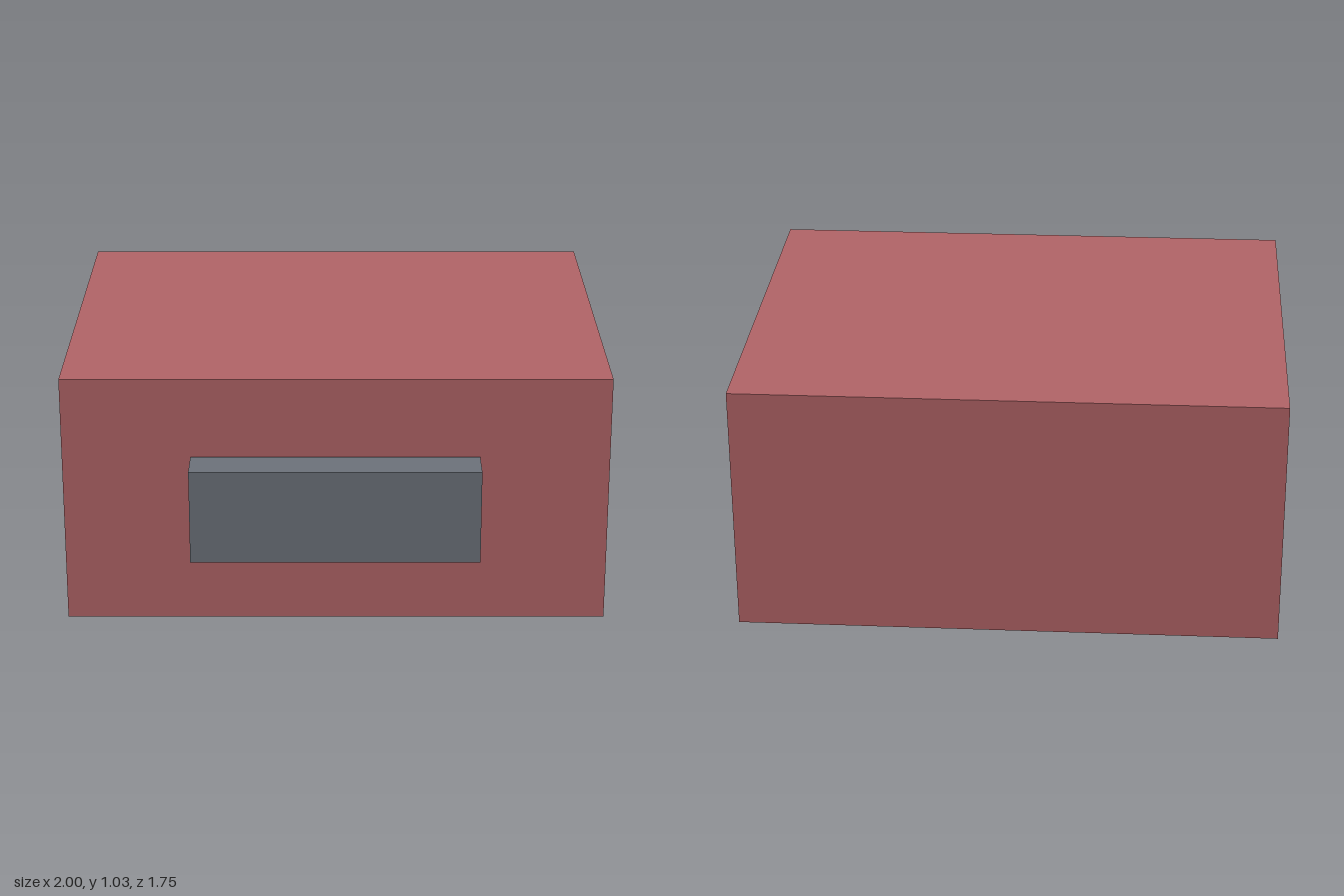
import * as THREE from 'three';

const red = new THREE.MeshStandardMaterial({ color: 0xb06366 });
red.name = 'dusty red';
const slate = new THREE.MeshStandardMaterial({ color: 0x6b7179 });
slate.name = 'slate grey';
const pale = new THREE.MeshStandardMaterial({ color: 0xbebeb4 });
pale.name = 'pale grey';

// Box spanning the given ranges on each axis
function block(name, material, [x0, x1], [y0, y1], [z0, z1]) {
  const mesh = new THREE.Mesh(new THREE.BoxGeometry(x1 - x0, y1 - y0, z1 - z0), material);
  mesh.position.set((x0 + x1) / 2, (y0 + y1) / 2, (z0 + z1) / 2);
  mesh.name = name;
  return mesh;
}

// Flat cross whose arms run to the edges of the base plate
function cross(name, material, [x0, x1], [y0, y1], [z0, z1], [ax0, ax1], [az0, az1]) {
  const outline = [
    [ax0, z0], [ax1, z0], [ax1, az0], [x1, az0], [x1, az1], [ax1, az1],
    [ax1, z1], [ax0, z1], [ax0, az1], [x0, az1], [x0, az0], [ax0, az0],
  ].map(([x, z]) => new THREE.Vector2(x, -z));
  const geometry = new THREE.ExtrudeGeometry(new THREE.Shape(outline), {
    depth: y1 - y0, bevelEnabled: false,
  });
  geometry.rotateX(-Math.PI / 2).translate(0, y0, 0);
  const mesh = new THREE.Mesh(geometry, material);
  mesh.name = name;
  return mesh;
}

export function createModel() {
  const model = new THREE.Group();
  model.name = 'box';
  const plateX = [-0.648, 0.642];
  const plateZ = [-0.46, 0.42];

  model.add(
    // Main body
    block('body', red, [-1, 1], [0.086, 1.028], [-0.875, 0.713]),
    // Panel floating just off the front
    block('frontPanel', slate, [-0.53, 0.525], [0.38, 0.733], [0.727, 0.875]),
    // Base plate and the raised cross beneath it
    block('basePlate', pale, plateX, [0.04, 0.086], plateZ),
    cross('baseCross', red, plateX, [0, 0.04], plateZ, [-0.15, 0.145], [-0.165, 0.125]),
  );
  return model;
}
